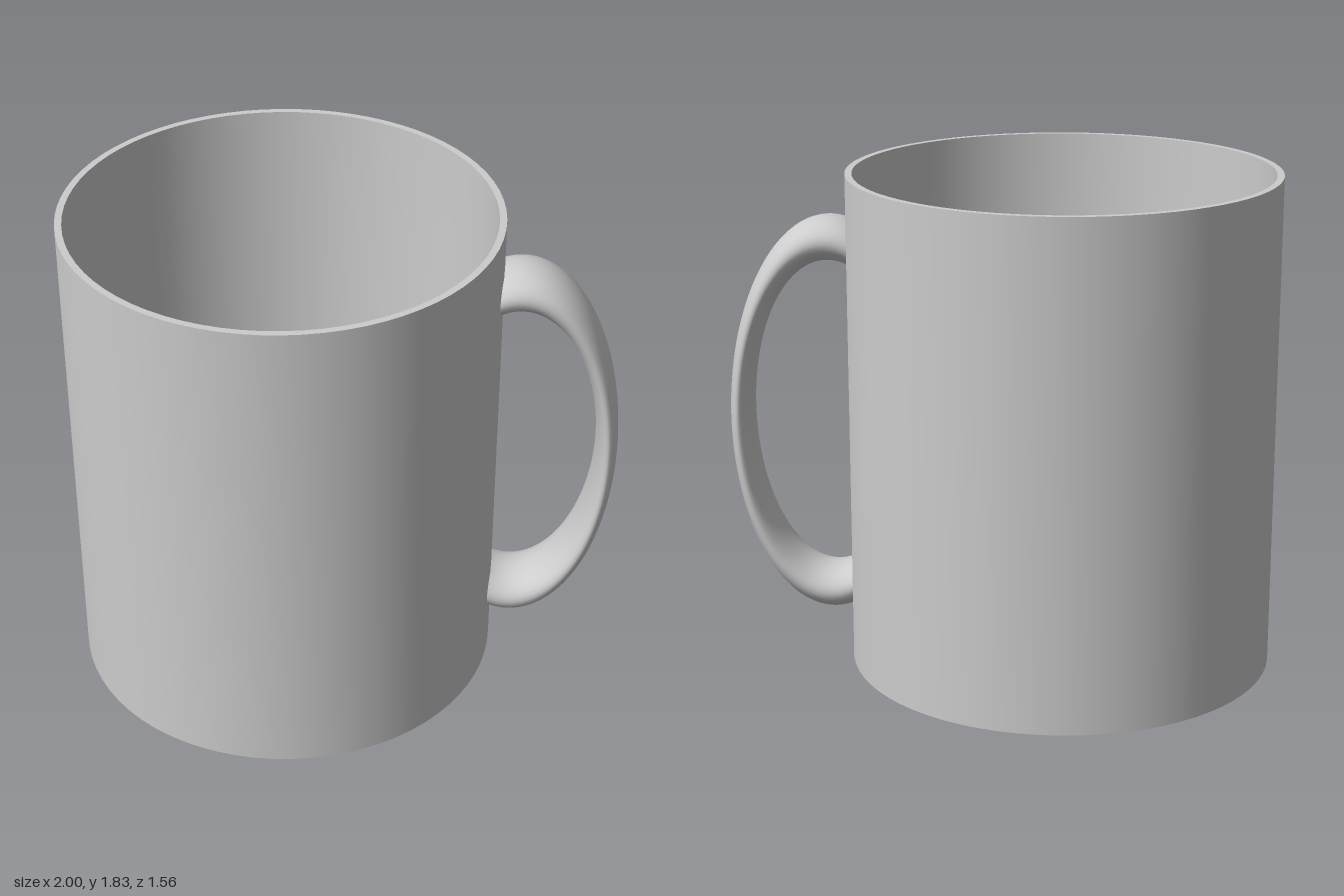
import * as THREE from 'three';
import { toCreasedNormals } from 'three/addons/utils/BufferGeometryUtils.js';

const CENTER_X = -0.22, RADIUS = 0.78, INNER = 0.755, HEIGHT = 1.83, FLOOR = 0.04;

// Straight-sided cup with a thin flat rim and a round-bottomed interior
function cupGeometry() {
  const profile = [[0, 0], [RADIUS, 0], [RADIUS, HEIGHT], [INNER, HEIGHT]];
  const steps = 20;
  for (let i = 0; i <= steps; i++) {
    const a = (i / steps) * Math.PI / 2;
    profile.push([i === steps ? 0 : INNER * Math.cos(a), FLOOR + INNER * (1 - Math.sin(a))]);
  }
  const lathe = new THREE.LatheGeometry(profile.map(([x, y]) => new THREE.Vector2(x, y)), 72);
  return toCreasedNormals(lathe, Math.PI / 6);
}

// Stretched torus arc whose ends are trimmed to sit inside the cup wall
function handleGeometry() {
  const arc = THREE.MathUtils.degToRad(236);
  const geometry = new THREE.TorusGeometry(0.3325, 0.04, 32, 120, arc);
  geometry.rotateZ(-arc / 2);
  geometry.scale(1, 2, 3.5);
  geometry.translate(0.626, 0.915, 0);
  const p = geometry.attributes.position;
  for (let i = 0; i < p.count; i++) {
    const wall = CENTER_X + Math.sqrt(0.768 ** 2 - p.getZ(i) ** 2);
    p.setX(i, Math.max(p.getX(i), wall));
  }
  return geometry;
}

export function createModel() {
  const ceramic = new THREE.MeshStandardMaterial({ color: 0xcccccc });
  ceramic.name = 'grey ceramic';

  const cup = new THREE.Mesh(cupGeometry(), ceramic);
  cup.name = 'cup';
  cup.position.x = CENTER_X;

  const handle = new THREE.Mesh(handleGeometry(), ceramic);
  handle.name = 'handle';

  const mug = new THREE.Group();
  mug.name = 'mug';
  mug.add(cup, handle);
  return mug;
}
